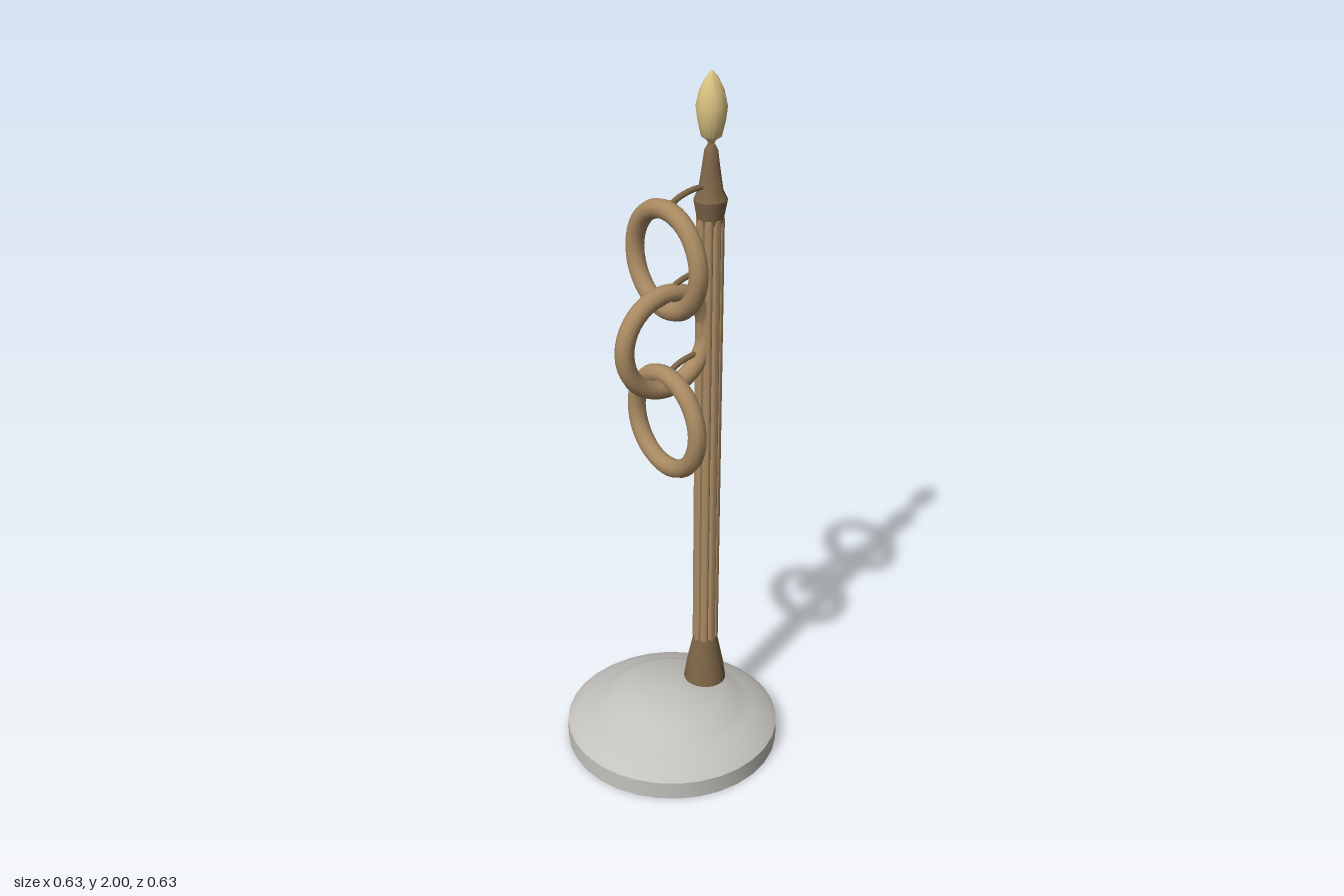
import * as THREE from 'three';
import { toCreasedNormals } from 'three/addons/utils/BufferGeometryUtils.js';

const POLE_Z = -0.125;
const RING_Z = 0.02;

export function createModel() {
  const model = new THREE.Group();
  const material = (name, color) => {
    const m = new THREE.MeshStandardMaterial({ color });
    m.name = name;
    return m;
  };
  const stone = material('stone grey', 0xc4c2be);
  const bronze = material('bronze', 0xa98a62);
  const darkBronze = material('dark bronze', 0x7d6547);
  const gold = material('pale gold', 0xd8c080);

  const add = (name, geometry, mat, x = 0, y = 0, z = 0) => {
    const mesh = new THREE.Mesh(geometry, mat);
    mesh.name = name;
    mesh.position.set(x, y, z);
    model.add(mesh);
    return mesh;
  };
  // Turned part from [radius, height] points, listed from the bottom up
  const turned = (points, sides, crease = 0.5) =>
    toCreasedNormals(new THREE.LatheGeometry(points.map(([r, y]) => new THREE.Vector2(r, y)), sides), crease);

  // Stepped round base
  add('base', turned([
    [0, 0], [0.315, 0], [0.315, 0.055], [0.292, 0.075], [0.24, 0.098],
    [0.205, 0.113], [0.157, 0.147], [0, 0.149],
  ], 32, 0.7), stone);

  // Flared foot of the pole
  add('foot', turned([
    [0, 0.147], [0.063, 0.147], [0.055, 0.2], [0.045, 0.25], [0.035, 0.3], [0, 0.3],
  ], 24), darkBronze, 0, 0, POLE_Z);

  // Fluted pole: eight rounded ribs with grooves between them
  const outline = [];
  for (let i = 0; i < 64; i++) {
    const a = (i / 64) * Math.PI * 2;
    const r = 0.029 + 0.009 * Math.sqrt(Math.abs(Math.cos(a * 4)));
    outline.push(new THREE.Vector2(Math.cos(a) * r, Math.sin(a) * r));
  }
  const shaft = new THREE.ExtrudeGeometry(new THREE.Shape(outline), { depth: 1.32, bevelEnabled: false });
  shaft.rotateX(-Math.PI / 2);
  add('flutedPole', toCreasedNormals(shaft, 0.6), bronze, 0, 0.295, POLE_Z);

  // Collar and tapering cap
  add('collar', turned([
    [0, 1.6], [0.033, 1.6], [0.045, 1.665], [0.033, 1.69], [0.024, 1.75],
    [0.018, 1.795], [0.01, 1.81], [0, 1.812],
  ], 24), darkBronze, 0, 0, POLE_Z);

  // Flame-shaped finial
  add('flameFinial', turned([
    [0, 1.805], [0.008, 1.812], [0.012, 1.822], [0.027, 1.832], [0.037, 1.875],
    [0.041, 1.91], [0.032, 1.95], [0.016, 1.982], [0, 2],
  ], 16, 0.8), gold, 0, 0, POLE_Z);

  // Three linked rings, each held by a curved hook
  [1.53, 1.3, 1.065].forEach((y, i) => {
    const ring = add('ring' + (i + 1), new THREE.TorusGeometry(0.136, 0.026, 10, 40), bronze, 0, y, RING_Z);
    if (i === 1) ring.rotation.y = Math.PI / 2;
    const path = new THREE.CatmullRomCurve3([
      new THREE.Vector3(0, y + 0.147, 0.005),
      new THREE.Vector3(0, y + 0.162, -0.025),
      new THREE.Vector3(0, y + 0.172, -0.065),
      new THREE.Vector3(0, y + 0.174, -0.115),
    ]);
    add('hook' + (i + 1), new THREE.TubeGeometry(path, 12, 0.008, 8), darkBronze);
  });

  return model;
}
